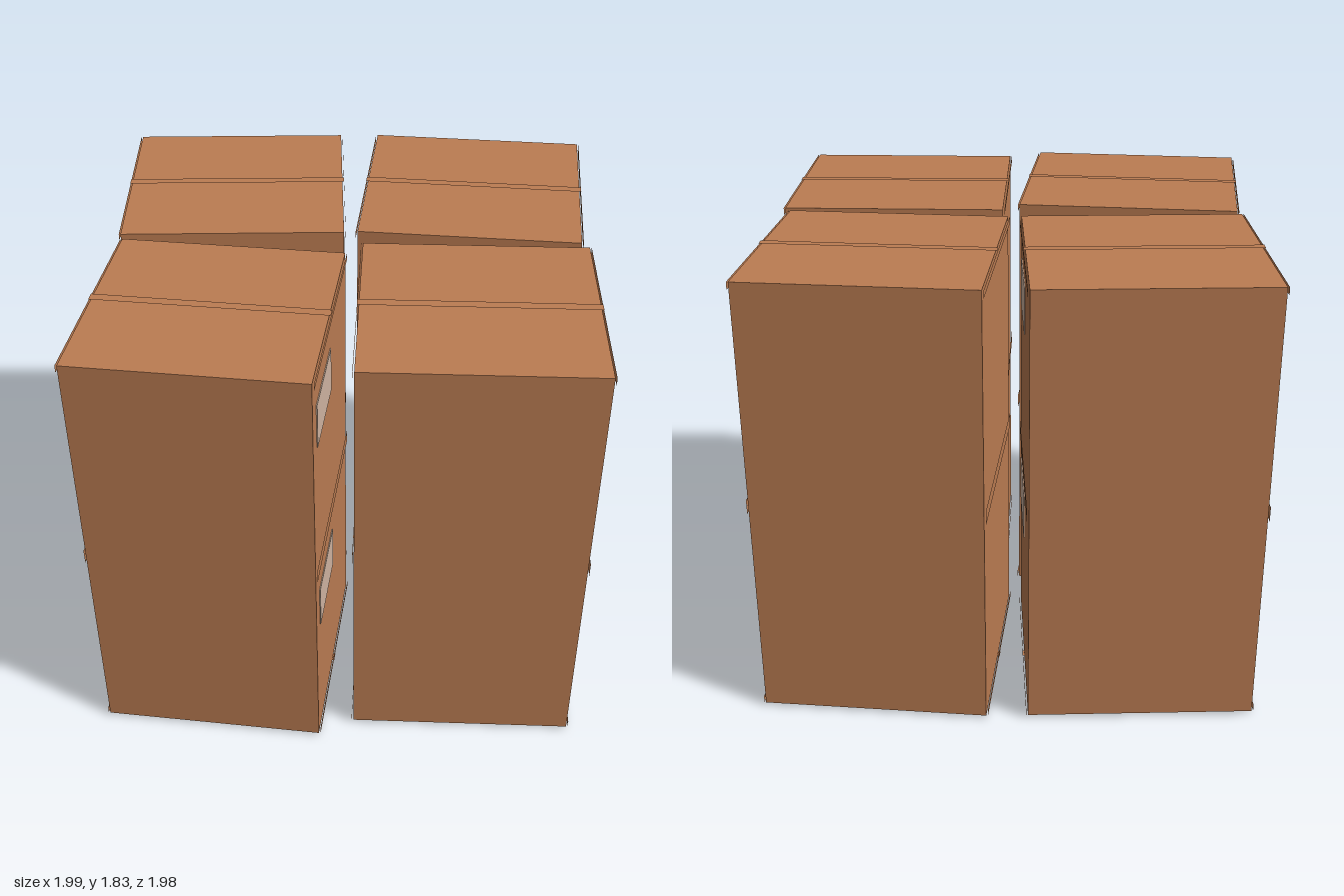
import * as THREE from 'three';

export function createModel() {
  const model = new THREE.Group();
  const cardboard = new THREE.MeshStandardMaterial({ color: 0xbb7c52, side: THREE.DoubleSide });
  cardboard.name = 'cardboard brown';
  const paper = new THREE.MeshStandardMaterial({ color: 0xd0b5a2 });
  paper.name = 'label beige';

  const W = 0.904, H = 0.904, BASE = 0.013, GAP = 0.007;

  const add = (parent, name, geometry, material, x, y, z) => {
    const mesh = new THREE.Mesh(geometry, material);
    mesh.name = name;
    mesh.position.set(x, y, z);
    parent.add(mesh);
    return mesh;
  };

  const bodyGeo = new THREE.BoxGeometry(W, H, W);
  const stripGeo = new THREE.PlaneGeometry(W, 0.03).rotateY(Math.PI / 2);
  const tapeGeo = new THREE.PlaneGeometry(W + 2 * GAP, 0.04).rotateX(-Math.PI / 2);
  const labelGeo = new THREE.BoxGeometry(0.004, 0.19, 0.366);

  // One carton with edge strips on both sides and a label on its left
  function carton() {
    const box = new THREE.Group();
    box.name = 'carton';
    add(box, 'cartonBody', bodyGeo, cardboard, 0, H / 2, 0);
    for (const side of [-1, 1])
      for (const y of [0.015, H - 0.015])
        add(box, 'edgeStrip', stripGeo, cardboard, side * (W / 2 + GAP), y, 0);
    add(box, 'label', labelGeo, paper, W / 2 + 0.002, 0.657, 0.183);
    return box;
  }

  // Four stacks of two cartons: x, z, turn
  const stacks = [
    [0.505, 0.455, 0],
    [-0.5025, 0.4975, -0.083],
    [0.508, -0.512, -0.066],
    [-0.505, -0.505, 0.06],
  ];
  for (const [x, z, turn] of stacks) {
    const stack = new THREE.Group();
    stack.name = 'cartonStack';
    stack.position.set(x, 0, z);
    stack.rotation.y = turn;
    for (let i = 0; i < 2; i++) {
      const box = carton();
      box.position.y = BASE + i * H;
      stack.add(box);
    }
    // Sealing tape along the top and bottom seams
    for (const y of [0, BASE + 2 * H + 0.006]) add(stack, 'seamTape', tapeGeo, cardboard, 0, y, 0);
    model.add(stack);
  }
  return model;
}
